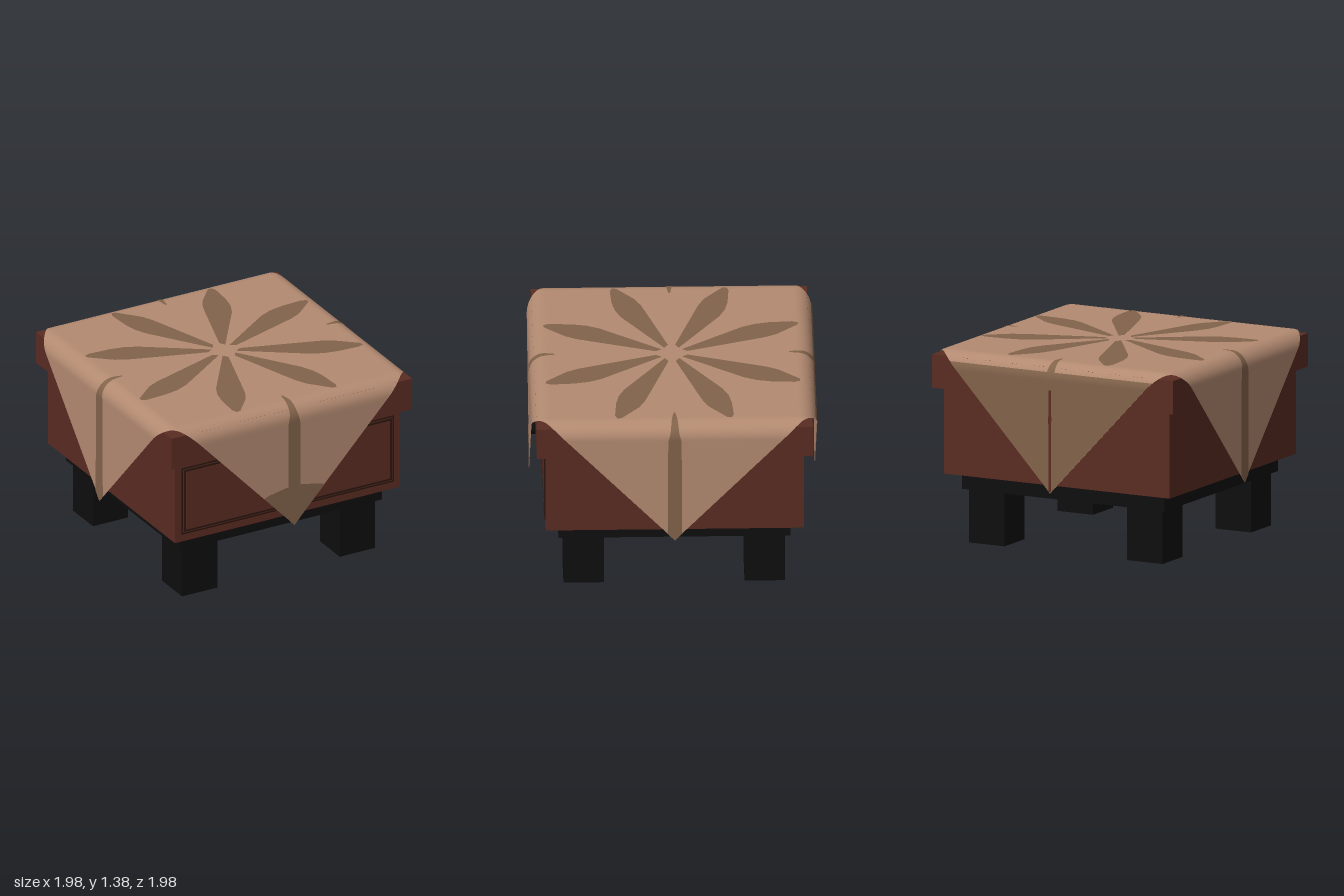
import * as THREE from 'three';

const TOP = 1.376, FLAT = 0.87, R = 0.115, REACH = 1.8, STRETCH = 1.068;
const ARC_END = FLAT + R * Math.PI / 2;

// One axis of the cloth: distance along it -> [position, drop]
function hang(s, off) {
  const d = Math.abs(s), r = R + off, sign = Math.sign(s);
  if (d < FLAT) return [s, 0];
  if (d < ARC_END) {
    const t = (d - FLAT) / R;
    return [sign * (FLAT + r * Math.sin(t)), r * (1 - Math.cos(t))];
  }
  return [sign * (FLAT + r), r + (d - ARC_END) * STRETCH];
}

// Lays a flat cloth point over the table top
function fold(u, v, off = 0) {
  const [x, dx] = hang(u, off), [z, dz] = hang(v, off);
  return [x, TOP + off - dx - dz, z];
}

function gridGeometry(nu, nv, point) {
  const pos = [], idx = [];
  for (let j = 0; j <= nv; j++) for (let i = 0; i <= nu; i++) pos.push(...point(i / nu, j / nv));
  for (let j = 0; j < nv; j++) for (let i = 0; i < nu; i++) {
    const a = j * (nu + 1) + i, b = a + nu + 1;
    idx.push(a, b, a + 1, a + 1, b, b + 1);
  }
  const g = new THREE.BufferGeometry();
  g.setAttribute('position', new THREE.Float32BufferAttribute(pos, 3));
  g.setIndex(idx);
  g.computeVertexNormals();
  return g;
}

// Painted patch on the front flap; rows are [distance from centre, half width]
function patchGeometry(rows, off) {
  return gridGeometry(2, 60, (s, t) => {
    const v = THREE.MathUtils.lerp(rows[0][0], rows[rows.length - 1][0], t);
    let k = 0;
    while (k < rows.length - 2 && v > rows[k + 1][0]) k++;
    const [v0, w0] = rows[k], [v1, w1] = rows[k + 1];
    const w = THREE.MathUtils.lerp(w0, w1, (v - v0) / (v1 - v0));
    return fold((s * 2 - 1) * w, v, off);
  });
}

export function createModel() {
  const group = new THREE.Group();
  const material = (name, color) => {
    const m = new THREE.MeshStandardMaterial({ color });
    m.name = name;
    return m;
  };
  const wood = material('red brown wood', 0x5a2c22);
  const black = material('black wood', 0x0e0e0e);
  const groove = material('dark groove', 0x2c1510);
  const cloth = material('tan cloth', 0xb38a71);
  const print = material('brown print', 0x82634b);
  cloth.side = print.side = THREE.DoubleSide;

  const add = (name, geometry, mat, x = 0, y = 0, z = 0) => {
    const mesh = new THREE.Mesh(geometry, mat);
    mesh.name = name;
    mesh.position.set(x, y, z);
    group.add(mesh);
    return mesh;
  };
  const slab = (name, half, y0, y1, mat, x = 0, z = 0) =>
    add(name, new THREE.BoxGeometry(half * 2, y1 - y0, half * 2), mat, x, (y0 + y1) / 2, z);

  // Cabinet
  for (const x of [-1, 1]) for (const z of [-1, 1]) slab('leg', 0.14, 0, 0.39, black, x * 0.625, z * 0.625);
  slab('plinth', 0.8, 0.38, 0.5, black);
  slab('body', 0.892, 0.495, 1.11, wood);
  slab('tableTop', 0.953, 1.105, 1.34, wood);

  // Drawer front with two thin outlines and a knob
  const frame = (hw, hh, t) => {
    const rect = (P, w, h) => new P([[-w, -h], [w, -h], [w, h], [-w, h]].map(p => new THREE.Vector2(...p)));
    const s = rect(THREE.Shape, hw, hh);
    s.holes.push(rect(THREE.Path, hw - t, hh - t));
    return new THREE.ExtrudeGeometry(s, { depth: 0.008, bevelEnabled: false });
  };
  add('drawerFront', new THREE.BoxGeometry(1.6, 0.46, 0.01), wood, 0, 0.805, 0.893);
  add('drawerOuterLine', frame(0.842, 0.255, 0.01), groove, 0, 0.805, 0.889);
  add('drawerInnerLine', frame(0.822, 0.236, 0.012), groove, 0, 0.805, 0.892);
  const knob = add('drawerKnob', new THREE.CylinderGeometry(0.055, 0.055, 0.085, 24), black, 0, 0.805, 0.935);
  knob.rotation.x = Math.PI / 2;

  // Square cloth laid cornerwise, with its four corners hanging down
  add('tablecloth', gridGeometry(120, 120, (s, t) => fold((s + t - 1) * REACH, (t - s) * REACH)), cloth);

  // Eight printed petals on the top
  const petal = [[0.07, 0.05], [0.49, 0.34], [0.58, 0.38], [0.68, 0.4], [0.84, 0.41], [0.88, 0.395],
    [0.875, 0.365], [0.8, 0.3], [0.73, 0.24], [0.65, 0.2], [0.56, 0.17], [0.11, 0.025]];
  for (const sx of [-1, 1]) for (const sz of [-1, 1]) for (const swap of [false, true]) {
    const points = petal.map(([a, b]) => swap ? new THREE.Vector2(b * sx, a * sz) : new THREE.Vector2(a * sx, b * sz));
    const g = new THREE.ShapeGeometry(new THREE.Shape(points));
    g.rotateX(-Math.PI / 2);
    add('petalPrint', g, print, 0, TOP + 0.004, 0);
  }

  // Printed stripe down the middle of each flap
  const stripe = [[0.81, 0.006], [0.9, 0.02], [1.0, 0.03], [1.06, 0.046], [REACH - 0.05, 0.05], [REACH, 0.002]];
  for (let i = 0; i < 4; i++) add('flapStripe', patchGeometry(stripe, 0.004), print).rotation.y = i * Math.PI / 2;

  // Printed front tip, fully printed back flap with a narrow slit
  add('frontTipPrint', patchGeometry([[1.52, 0.06], [1.545, 0.2], [1.56, 0.24], [REACH, 0]], 0.003), print);
  add('backFlapPrint', patchGeometry([[1.0, 0.8], [REACH, 0]], 0.003), print).rotation.y = Math.PI;
  const slit = add('backSlit', patchGeometry([[1.12, 0.008], [1.3, 0.012], [REACH - 0.01, 0.01]], 0.007), wood);
  slit.rotation.y = Math.PI;

  return group;
}
